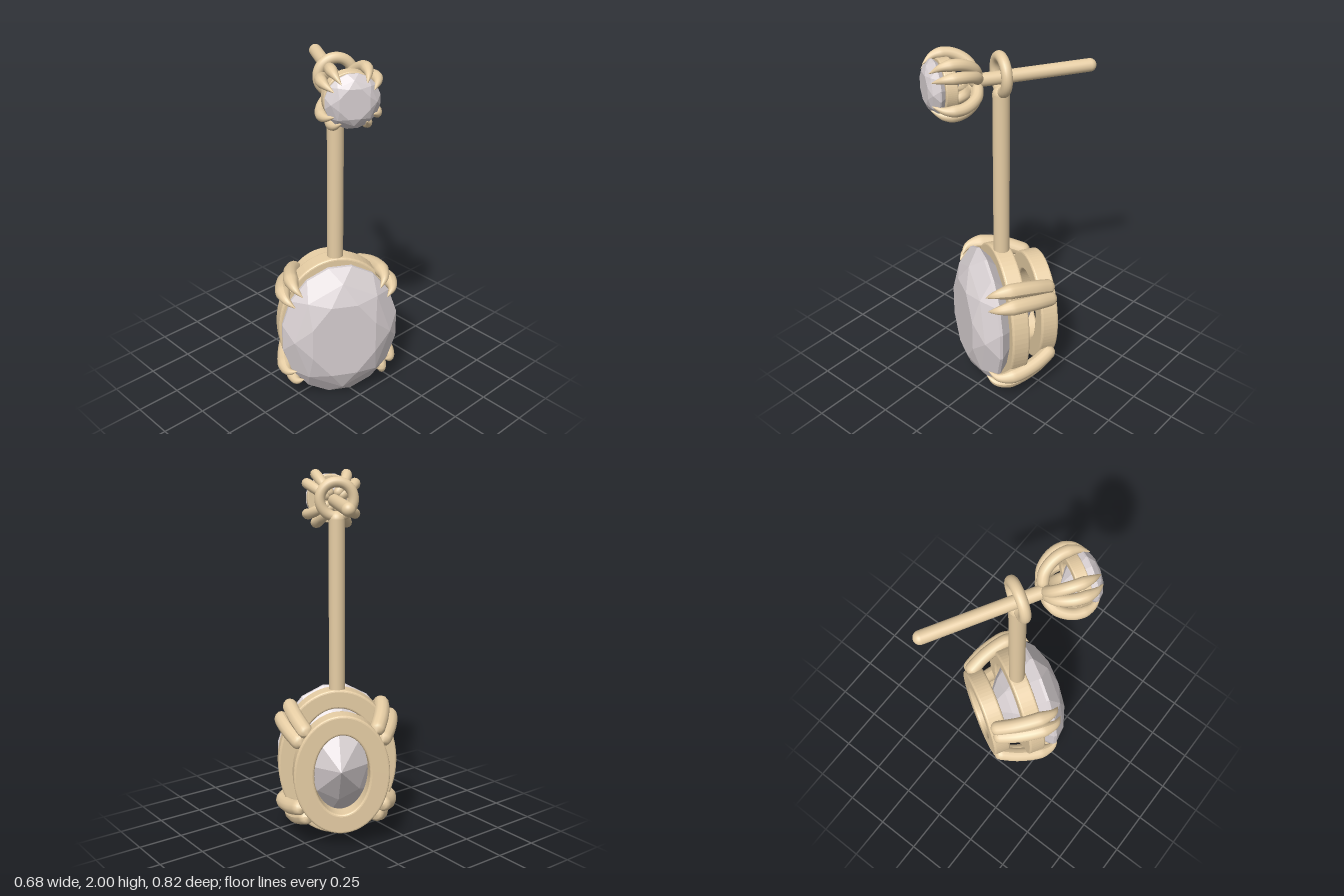
import * as THREE from 'three';
import { ConvexGeometry } from 'three/addons/geometries/ConvexGeometry.js';

const gold = new THREE.MeshStandardMaterial({ color: 0xe6cda4 });
const gem = new THREE.MeshStandardMaterial({ color: 0xd8d0d2, flatShading: true });

function add(parent, name, geometry, material = gold) {
  const mesh = new THREE.Mesh(geometry, material);
  mesh.name = name;
  parent.add(mesh);
  return mesh;
}

// Faceted oval stone: each layer is [scale, z, sides, half-step offset]
function stoneGeometry(a, b, layers) {
  const points = [];
  for (const [s, z, n, offset] of layers) {
    for (let i = 0; i < n; i++) {
      const t = ((i + offset) / n) * Math.PI * 2;
      points.push(new THREE.Vector3(a * s * Math.cos(t), b * s * Math.sin(t), z));
    }
  }
  return new ConvexGeometry(points);
}

// Flat oval band with a hole, lying between z0 and z1, edges slightly rounded
function bandGeometry(a, b, holeA, holeB, z0, z1, bevel) {
  const shape = new THREE.Shape();
  shape.absellipse(0, 0, a - bevel, b - bevel, 0, Math.PI * 2);
  const hole = new THREE.Path();
  hole.absellipse(0, 0, holeA + bevel, holeB + bevel, 0, Math.PI * 2);
  shape.holes.push(hole);
  const geometry = new THREE.ExtrudeGeometry(shape, {
    depth: z1 - z0 - 2 * bevel, curveSegments: 40,
    bevelThickness: bevel, bevelSize: bevel, bevelSegments: 3,
  });
  return geometry.translate(0, 0, z0 + bevel);
}

// Claw: a tube with a rounded root and a pointed tip
function clawGeometry(points, radius) {
  const curve = new THREE.CatmullRomCurve3(points);
  const segments = 36, sides = 12;
  const geometry = new THREE.TubeGeometry(curve, segments, radius, sides);
  const pos = geometry.attributes.position;
  const v = new THREE.Vector3();
  for (let i = 0; i <= segments; i++) {
    const u = i / segments;
    const centre = curve.getPointAt(u);
    const root = Math.sqrt(1 - (1 - Math.min(u / 0.1, 1)) ** 2);
    const tip = Math.min(1, (1 - u) / 0.32) ** 0.8;
    const k = Math.max(0.02, root * tip);
    for (let j = 0; j <= sides; j++) {
      const n = i * (sides + 1) + j;
      v.fromBufferAttribute(pos, n).sub(centre).multiplyScalar(k).add(centre);
      pos.setXYZ(n, v.x, v.y, v.z);
    }
  }
  geometry.computeVertexNormals();
  return geometry;
}

// Four pairs of claws; path is a list of [x radius, y radius, z]
function addClaws(parent, name, path, angles, radius) {
  for (const sx of [1, -1]) {
    for (const sy of [1, -1]) {
      for (const degrees of angles) {
        const t = THREE.MathUtils.degToRad(degrees);
        const points = path.map(([rx, ry, z]) =>
          new THREE.Vector3(sx * rx * Math.cos(t), sy * ry * Math.sin(t), z));
        add(parent, name, clawGeometry(points, radius));
      }
    }
  }
}

export function createModel() {
  const model = new THREE.Group();
  const earring = new THREE.Group();
  earring.name = 'earring';
  earring.rotation.y = -Math.PI / 6;
  earring.position.z = 0.037;
  model.add(earring);

  // Large oval pendant
  const pendant = new THREE.Group();
  pendant.name = 'pendant';
  pendant.position.y = 0.42;
  earring.add(pendant);
  add(pendant, 'ovalStone', stoneGeometry(0.33, 0.415, [
    [0.58, 0.232, 8, 0.5], [0.82, 0.19, 8, 0], [1, 0.122, 16, 0.5],
    [1, 0.105, 16, 0.5], [0.5, -0.075, 8, 0], [0, -0.2, 1, 0],
  ]), gem);
  add(pendant, 'frontBand', bandGeometry(0.33, 0.42, 0.225, 0.315, -0.05, 0.05, 0.012));
  add(pendant, 'backBand', bandGeometry(0.26, 0.335, 0.15, 0.225, -0.245, -0.145, 0.012));
  addClaws(pendant, 'pendantClaw', [
    [0.255, 0.325, -0.235], [0.325, 0.4, -0.1], [0.36, 0.44, 0.04],
    [0.352, 0.43, 0.12], [0.305, 0.385, 0.165],
  ], [33, 45], 0.042);

  // Drop rod, hanging loop and ear post
  add(earring, 'dropRod', new THREE.CylinderGeometry(0.044, 0.044, 0.95, 32))
    .position.y = 1.285;
  add(earring, 'rodTop', new THREE.SphereGeometry(0.044, 24, 16)).position.y = 1.755;
  add(earring, 'hangingLoop', new THREE.TorusGeometry(0.089, 0.028, 16, 48))
    .position.y = 1.86;
  const post = add(earring, 'earPost', new THREE.CapsuleGeometry(0.034, 0.605, 10, 28));
  post.rotation.x = Math.PI / 2;
  post.position.set(0, 1.845, -0.17);

  // Small round stud
  const stud = new THREE.Group();
  stud.name = 'stud';
  stud.position.y = 1.845;
  earring.add(stud);
  add(stud, 'roundStone', stoneGeometry(0.135, 0.135, [
    [0.58, 0.39, 8, 0.5], [0.82, 0.374, 8, 0], [1, 0.345, 16, 0.5],
    [1, 0.338, 16, 0.5], [0.5, 0.26, 8, 0], [0, 0.21, 1, 0],
  ]), gem);
  add(stud, 'studBand', bandGeometry(0.132, 0.132, 0.088, 0.088, 0.255, 0.315, 0.006));
  addClaws(stud, 'studClaw', [
    [0.02, 0.02, 0.125], [0.1, 0.1, 0.155], [0.15, 0.15, 0.23],
    [0.15, 0.15, 0.315], [0.112, 0.112, 0.378],
  ], [32, 57], 0.029);

  return model;
}
